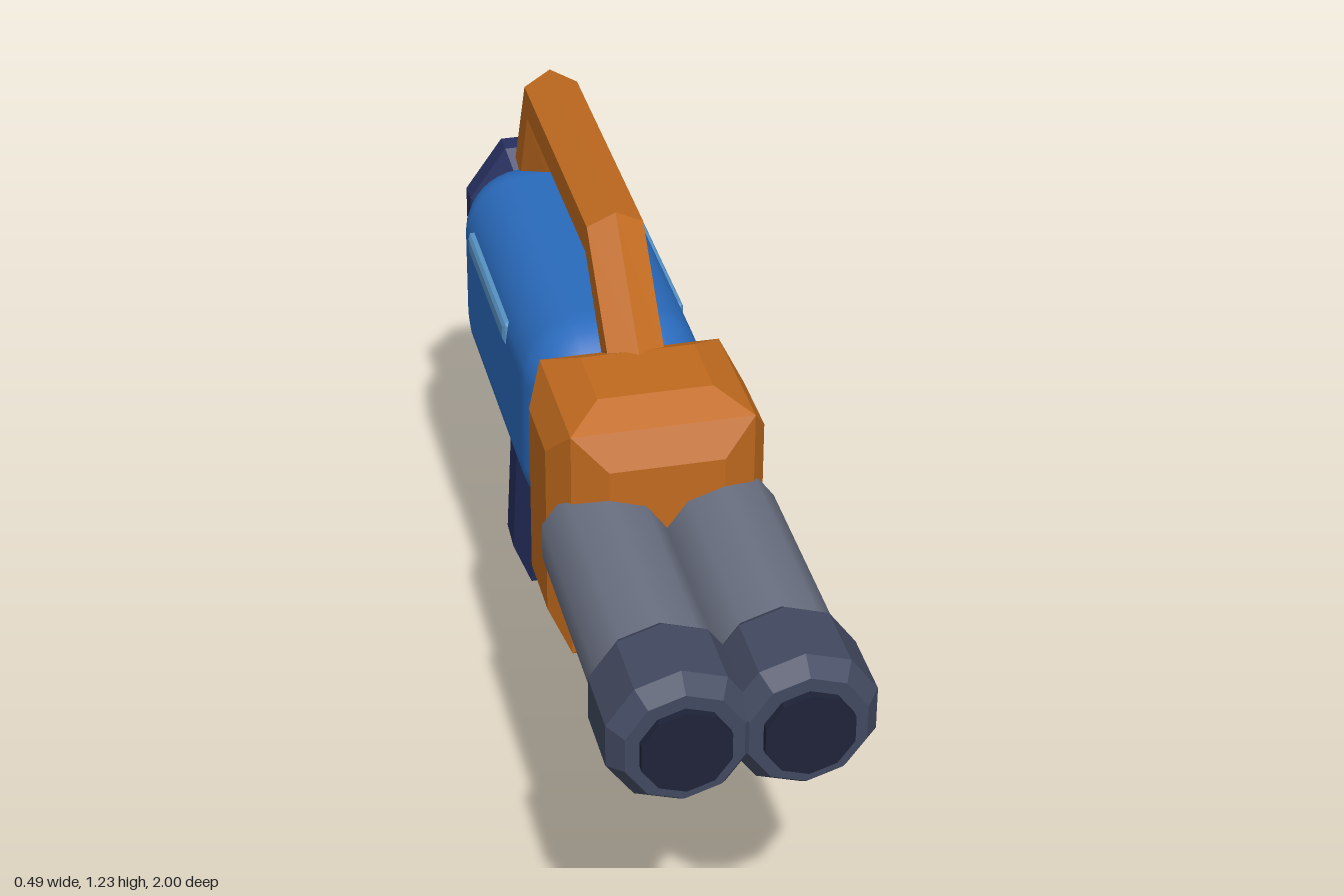
import * as THREE from 'three';
import { ConvexGeometry } from 'three/addons/geometries/ConvexGeometry.js';
import { RoundedBoxGeometry } from 'three/addons/geometries/RoundedBoxGeometry.js';

const flat = (color) => new THREE.MeshStandardMaterial({ color, flatShading: true });
const smooth = (color) => new THREE.MeshStandardMaterial({ color });

const ORANGE = 0xc06a1e, BLUE = 0x2a6bbd, LIGHT_BLUE = 0x5a96c8, NAVY = 0x263060;
const GOLD = 0xb4922a, STEEL = 0x6b7183, DARK_STEEL = 0x424960, BORE = 0x1e2338, BAND = 0x959ba8;

// Box with two-step bevels: inset b where the faces end, a shallower crease at the corners
function softBox(w, h, d, b) {
  const a = b * 0.35, pts = [];
  for (const sx of [-1, 1]) for (const sy of [-1, 1]) for (const sz of [-1, 1]) {
    for (const [ix, iy, iz] of [[a, a, a], [0, b, b], [b, 0, b], [b, b, 0]]) {
      pts.push(new THREE.Vector3(sx * (w / 2 - ix), sy * (h / 2 - iy), sz * (d / 2 - iz)));
    }
  }
  return new ConvexGeometry(pts);
}

// Faceted solid turned around the z axis; profile is [radius, z] from back to front
function turned(profile, sides, phase = 0) {
  const pts = profile.map(([r, z]) => new THREE.Vector2(r, z));
  return new THREE.LatheGeometry(pts, sides, phase).rotateX(Math.PI / 2);
}

// Bar with a six-sided section, mitred through stations of outer and inner [z, y] points
function carryBar(stations, half) {
  const section = [[0, 0], [half, 0.25], [half, 0.78], [0, 1], [-half, 0.78], [-half, 0.25]];
  const n = section.length, pos = [], idx = [];
  for (const [zo, yo, zi, yi] of stations) {
    for (const [x, t] of section) pos.push(x, yo + (yi - yo) * t, zo + (zi - zo) * t);
  }
  for (let s = 0; s < stations.length - 1; s++) {
    for (let k = 0; k < n; k++) {
      const a = s * n + k, b = s * n + (k + 1) % n;
      idx.push(a, b, a + n, b, b + n, a + n);
    }
  }
  const last = (stations.length - 1) * n;
  for (let k = 1; k < n - 1; k++) {
    idx.push(0, k + 1, k, last, last + k, last + k + 1);
  }
  const g = new THREE.BufferGeometry();
  g.setAttribute('position', new THREE.Float32BufferAttribute(pos, 3));
  g.setIndex(idx);
  g.computeVertexNormals();
  return g;
}

export function createModel() {
  const model = new THREE.Group();
  const add = (name, geometry, material, x = 0, y = 0, z = 0, tilt = 0, parent = model) => {
    const mesh = new THREE.Mesh(geometry, material);
    mesh.name = name;
    mesh.position.set(x, y, z);
    mesh.rotation.x = tilt;
    parent.add(mesh);
    return mesh;
  };

  // Main body and front collar
  add('body', new RoundedBoxGeometry(0.36, 0.46, 0.825, 4, 0.13), smooth(BLUE), 0, 0.76, -0.388);
  add('collar', softBox(0.42, 0.56, 0.35, 0.1), flat(ORANGE), 0, 0.76, 0.215);

  // Twin barrels, muzzles and bores, plus the side strips
  for (const [side, s] of [['left', 1], ['right', -1]]) {
    const x = 0.11 * s;
    add(side + 'Barrel', new THREE.CylinderGeometry(0.12, 0.12, 0.5, 10).rotateX(Math.PI / 2),
      smooth(STEEL), x, 0.76, 0.57);
    add(side + 'Muzzle', turned([[0, 0.79], [0.127, 0.79], [0.14, 0.81], [0.14, 0.95],
      [0.112, 0.985], [0, 0.985]], 10), flat(DARK_STEEL), x, 0.76, 0);
    add(side + 'Bore', turned([[0, 0.9], [0.085, 0.9], [0.085, 1], [0, 1]], 10), flat(BORE), x, 0.76, 0);
    add(side + 'Strip', softBox(0.03, 0.055, 0.39, 0.014), flat(LIGHT_BLUE), 0.171 * s, 0.873, -0.435);
  }

  // Rear cap: an eight-sided bulge, taller than wide
  const capGeometry = turned([[0, -0.1], [0.55, -0.1], [1.08, -0.022], [1.08, 0.025], [0.52, 0.1], [0, 0.1]],
    8, Math.PI / 8);
  capGeometry.scale(0.135, 0.19, 1);
  add('rearCap', capGeometry, flat(NAVY), 0, 0.76, -0.9);

  // Carry handle
  add('carryHandle', carryBar([
    [0.16, 1.035, 0.06, 0.985],
    [-0.045, 1.237, -0.07, 1.122],
    [-0.66, 1.237, -0.62, 1.122],
    [-0.787, 0.995, -0.69, 0.965],
  ], 0.055), flat(ORANGE));

  // Rear grip and trigger
  add('grip', softBox(0.21, 0.53, 0.245, 0.09), flat(NAVY), 0, 0.272, -0.612, 0.22);
  add('trigger', softBox(0.06, 0.185, 0.058, 0.02), flat(GOLD), 0, 0.437, -0.348, -0.33);

  // Sloping front grip with four square bands
  const frontGrip = new THREE.Group();
  frontGrip.name = 'frontGrip';
  frontGrip.position.set(0, 0.317, -0.057);
  frontGrip.rotation.x = -0.4;
  model.add(frontGrip);
  const rod = turned([[0, -0.345], [0.045, -0.345], [0.083, -0.28], [0.083, 0.28], [0.045, 0.345], [0, 0.345]],
    8, Math.PI / 8);
  rod.scale(1, 0.95, 1);
  add('frontGripRod', rod, flat(GOLD), 0, 0, 0, 0, frontGrip);
  for (let i = 0; i < 4; i++) {
    add('gripBand' + (i + 1), new THREE.BoxGeometry(0.17, 0.165, 0.036), flat(BAND),
      0, 0, 0.242 - i * 0.161, 0, frontGrip);
  }

  return model;
}
